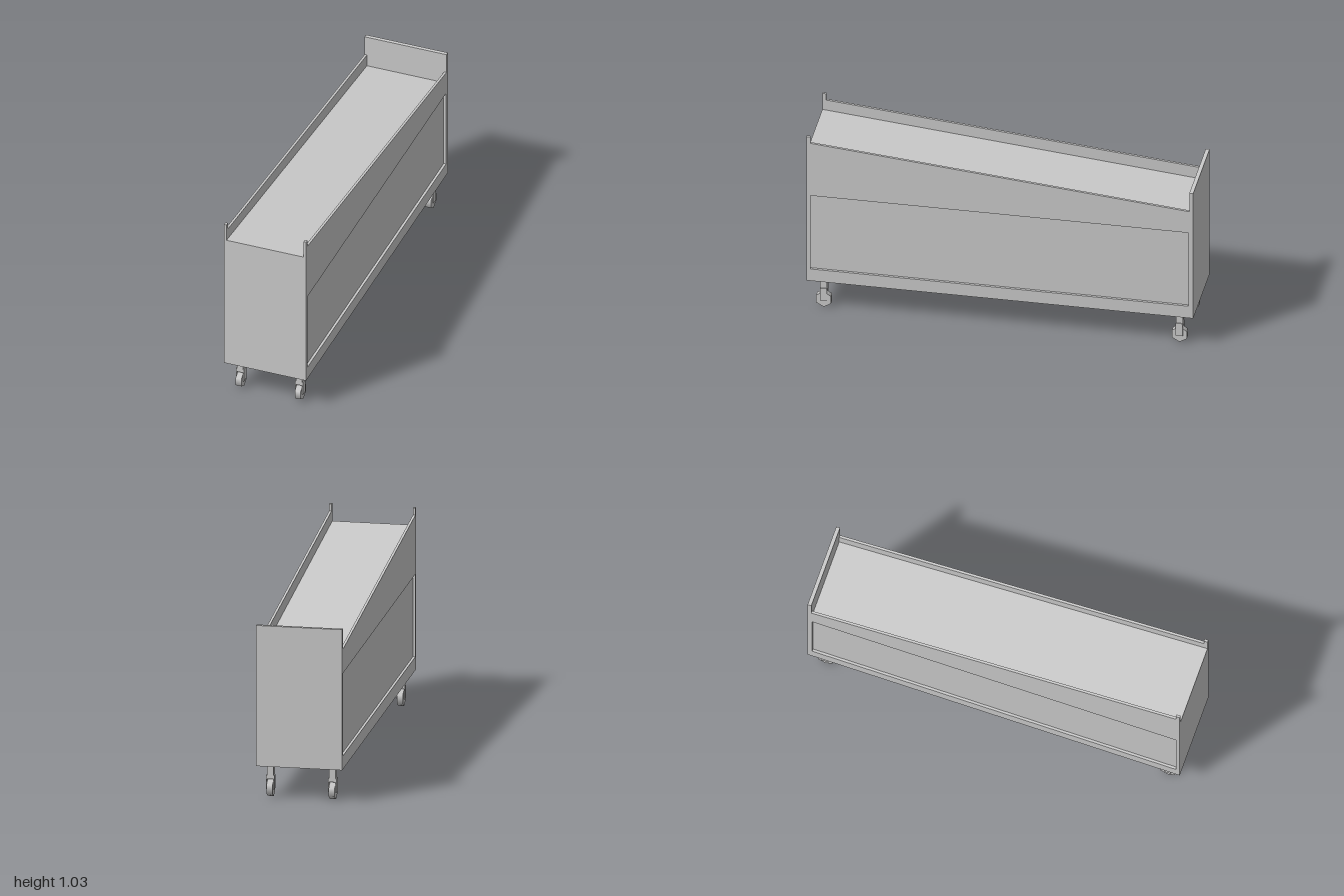
import * as THREE from 'three';

const HALF_W = 0.223, WALL = 0.013, FLOOR = 0.175;
const material = new THREE.MeshStandardMaterial({ color: 0xcccccc });

function add(parent, name, geometry, x = 0, y = 0, z = 0) {
  const mesh = new THREE.Mesh(geometry, material);
  mesh.name = name;
  mesh.position.set(x, y, z);
  parent.add(mesh);
  return mesh;
}

const points = (list) => list.map(([z, y]) => new THREE.Vector2(z, y));

// Extrudes a side profile, given as [z, y] points, across x and centres it
function sideExtrude(outline, width, hole) {
  const shape = new THREE.Shape(points(outline));
  if (hole) shape.holes.push(new THREE.Path(points(hole)));
  const geometry = new THREE.ExtrudeGeometry(shape, { depth: width, bevelEnabled: false });
  return geometry.translate(0, 0, -width / 2).rotateY(-Math.PI / 2);
}

function createCaster() {
  const caster = new THREE.Group();
  caster.name = 'caster';
  add(caster, 'stem', new THREE.BoxGeometry(0.034, 0.065, 0.036), 0, 0.1435, 0);
  add(caster, 'forkBridge', new THREE.BoxGeometry(0.044, 0.019, 0.036), 0, 0.1025, 0);
  for (const side of [-1, 1]) {
    add(caster, 'forkLeg', new THREE.BoxGeometry(0.005, 0.072, 0.036), side * 0.0195, 0.076, 0);
  }
  // Six-sided wheel standing on a corner
  const wheel = new THREE.CylinderGeometry(0.044, 0.044, 0.031, 6, 1, false, Math.PI / 2);
  add(caster, 'wheel', wheel.rotateZ(Math.PI / 2), 0, 0.044, 0);
  add(caster, 'axle', new THREE.CylinderGeometry(0.006, 0.006, 0.038, 8).rotateZ(Math.PI / 2), 0, 0.048, 0);
  return caster;
}

export function createModel() {
  const cart = new THREE.Group();
  cart.name = 'slopedCart';

  // Closed body with a sloping deck
  const body = [[-0.98, FLOOR], [1, FLOOR], [1, 0.933], [-0.98, 0.74]];
  add(cart, 'bodyAndDeck', sideExtrude(body, 2 * (HALF_W - WALL)));

  // Side walls: sloping rail, short front post and a recessed panel opening
  const wall = [[-0.98, FLOOR], [1, FLOOR], [1, 1.027], [0.98, 1.027], [0.98, 0.99], [-0.98, 0.806]];
  const opening = [[-0.975, 0.245], [-0.975, 0.68], [0.98, 0.68], [0.98, 0.245]];
  for (const side of [-1, 1]) {
    add(cart, side > 0 ? 'leftWall' : 'rightWall', sideExtrude(wall, WALL, opening), side * (HALF_W - WALL / 2));
  }

  // Tall end board at the low end of the deck
  add(cart, 'backBoard', new THREE.BoxGeometry(2 * HALF_W, 0.74, 0.02), 0, FLOOR + 0.37, -0.99);

  // Casters at the four corners
  for (const x of [-0.161, 0.161]) {
    for (const z of [-0.92, 0.92]) {
      const caster = createCaster();
      caster.position.set(x, 0, z);
      cart.add(caster);
    }
  }
  return cart;
}
